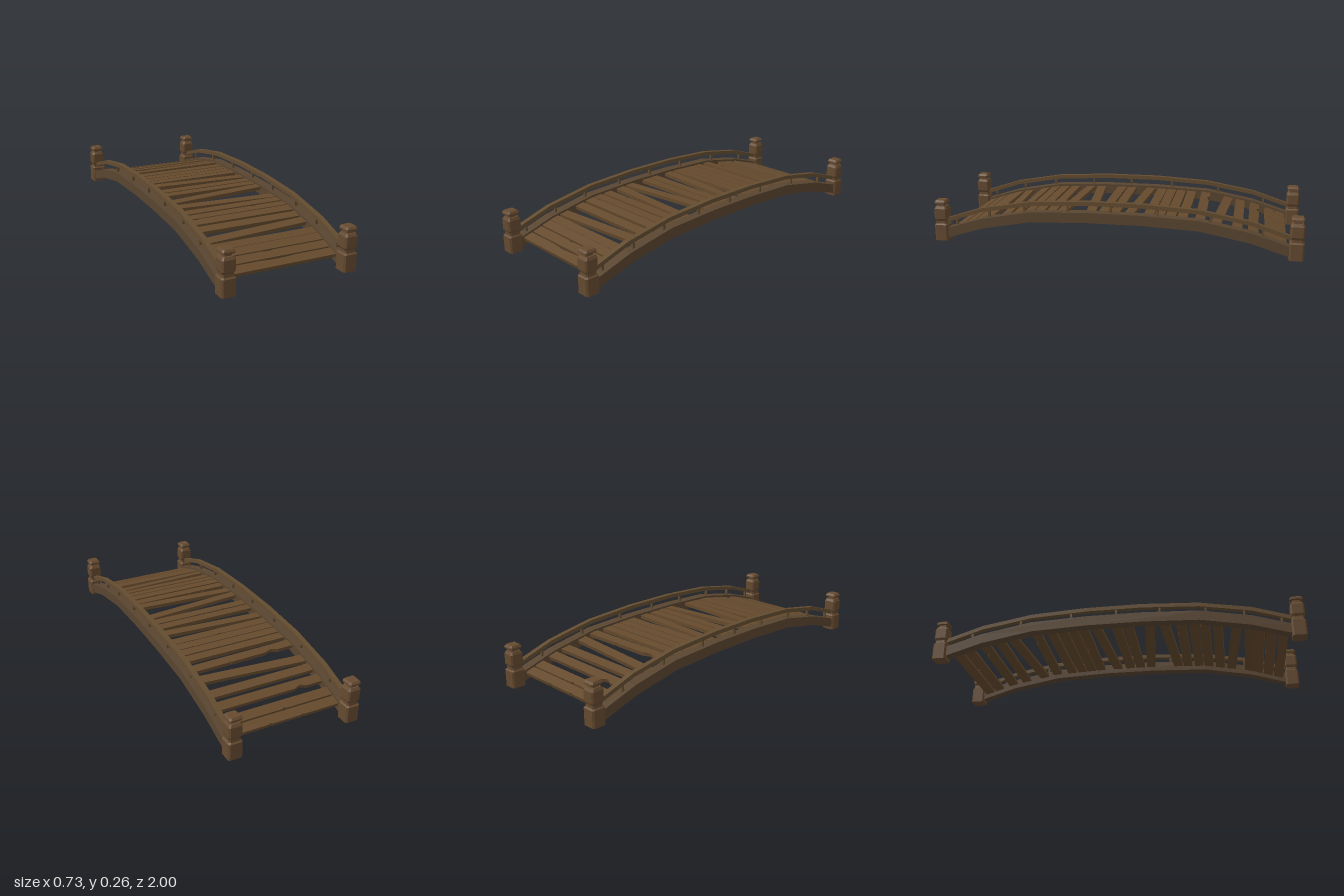
import * as THREE from 'three';

const mat = (name, color) => Object.assign(new THREE.MeshStandardMaterial({ color }), { name });

// Half of each arch as [z, y of top edge]
const BEAM = [[0.15, 0.198], [0.457, 0.185], [0.73, 0.134], [0.96, 0.062]];
const RAIL = [[0.15, 0.256], [0.457, 0.239], [0.73, 0.191], [0.95, 0.119]];

// Height of an arch at z
function heightAt(arch, z) {
  const a = Math.abs(z);
  if (a <= arch[0][0]) return arch[0][1];
  let i = 1;
  while (i < arch.length - 1 && a > arch[i][0]) i++;
  const [z0, y0] = arch[i - 1], [z1, y1] = arch[i];
  return y0 + ((y1 - y0) * (a - z0)) / (z1 - z0);
}

// Arched bar: a faceted band in the z-y plane, extruded across x
function archedBar(arch, thickness, width) {
  const top = [...arch.map(([z, y]) => [-z, y]).reverse(), ...arch];
  const bottom = top.map(([z, y]) => [z, y - thickness]).reverse();
  const shape = new THREE.Shape([...top, ...bottom].map(([z, y]) => new THREE.Vector2(z, y)));
  const geo = new THREE.ExtrudeGeometry(shape, { depth: width, bevelEnabled: false });
  return geo.translate(0, 0, -width / 2).rotateY(-Math.PI / 2);
}

// Turned post: chamfered square rings stacked along y as [y, half width]
const POST = [[0, 0.038], [0.089, 0.038], [0.096, 0.031], [0.111, 0.03], [0.124, 0.036],
  [0.18, 0.036], [0.194, 0.028], [0.195, 0.021], [0.208, 0.021], [0.209, 0.034],
  [0.218, 0.034], [0.228, 0.026]];
function postGeometry() {
  const pos = [], index = [], n = 8;
  for (const [y, h] of POST) {
    const c = h * 0.78;
    for (const [x, z] of [[h, -c], [h, c], [c, h], [-c, h], [-h, c], [-h, -c], [-c, -h], [c, -h]]) pos.push(x, y, z);
  }
  for (let r = 0; r < POST.length - 1; r++) {
    for (let i = 0; i < n; i++) {
      const a = r * n + i, b = r * n + ((i + 1) % n);
      index.push(a, a + n, b, b, a + n, b + n);
    }
  }
  const last = (POST.length - 1) * n;
  for (let i = 1; i < n - 1; i++) {
    index.push(0, i, i + 1, last, last + i + 1, last + i);
  }
  const geo = new THREE.BufferGeometry();
  geo.setAttribute('position', new THREE.Float32BufferAttribute(pos, 3));
  geo.setIndex(index);
  const flat = geo.toNonIndexed();
  flat.computeVertexNormals();
  return flat;
}

// Plank: slanted board with nicks [x, width, depth] cut into its back edge
function plankGeometry(skew, nicks) {
  const L = 0.302, W = 0.0265;
  const mid = (x) => (skew * x) / (2 * L);
  const pts = [[-L, mid(-L) - W]];
  for (const [x, w, d] of nicks) {
    pts.push([x - w / 2, mid(x) - W], [x - w * 0.1, mid(x) - W + d], [x + w * 0.15, mid(x) - W + d * 0.8], [x + w / 2, mid(x) - W]);
  }
  pts.push([L, mid(L) - W], [L, mid(L) + W], [-L, mid(-L) + W]);
  const shape = new THREE.Shape(pts.map((p) => new THREE.Vector2(...p)));
  return new THREE.ExtrudeGeometry(shape, { depth: 0.02, bevelEnabled: false }).rotateX(Math.PI / 2);
}

// Planks as [z at -x end, z at +x end, nicks]
const PLANKS = [
  [-0.889, -0.889, [[-0.09, 0.02, 0.004], [0.09, 0.02, 0.005]]],
  [-0.83, -0.83, [[-0.02, 0.03, 0.006]]],
  [-0.741, -0.741, [[-0.17, 0.07, 0.014]]],
  [-0.656, -0.656, []],
  [-0.585, -0.542, []],
  [-0.45, -0.46, [[-0.17, 0.08, 0.014], [0.08, 0.02, 0.004]]],
  [-0.365, -0.365, []],
  [-0.302, -0.302, []],
  [-0.243, -0.243, [[-0.08, 0.02, 0.004], [0.19, 0.02, 0.005]]],
  [-0.185, -0.185, [[0, 0.03, 0.006]]],
  [-0.116, -0.077, []],
  [0, 0, []],
  [0.063, 0.063, [[-0.15, 0.03, 0.006], [0, 0.02, 0.004]]],
  [0.19, 0.127, []],
  [0.259, 0.296, []],
  [0.354, 0.354, [[-0.15, 0.03, 0.006], [-0.06, 0.02, 0.005]]],
  [0.421, 0.421, [[0.12, 0.05, 0.005]]],
  [0.481, 0.481, [[-0.24, 0.04, 0.006]]],
  [0.55, 0.55, []],
  [0.656, 0.614, []],
  [0.72, 0.72, []],
  [0.772, 0.772, []],
  [0.83, 0.83, [[-0.02, 0.06, 0.006]]],
  [0.889, 0.889, [[0, 0.2, 0.006]]],
];

export function createModel() {
  const postWood = mat('post wood', 0x654a30);
  const beamWood = mat('beam wood', 0x594530);
  const railWood = mat('rail wood', 0x634c30);
  const plankWood = mat('plank wood', 0x654a2d);

  const model = new THREE.Group();
  model.name = 'archedFootbridge';
  const add = (name, geo, material, x = 0, y = 0, z = 0) => {
    const mesh = new THREE.Mesh(geo, material);
    mesh.name = name;
    mesh.position.set(x, y, z);
    model.add(mesh);
    return mesh;
  };

  const post = postGeometry();
  const beam = archedBar(BEAM, 0.056, 0.055);
  const rail = archedBar(RAIL, 0.022, 0.028);
  const balusterZ = [0.88, 0.69, 0.49, 0.245, 0.01, -0.24, -0.52, -0.79];

  for (const [side, s] of [['left', 1], ['right', -1]]) {
    const x = s * 0.327;
    // Corner posts
    add(side + 'FrontPost', post, postWood, x, 0, 0.962);
    add(side + 'BackPost', post, postWood, x, 0, -0.962);
    // Side beam and handrail
    add(side + 'Beam', beam, beamWood, x);
    add(side + 'Handrail', rail, railWood, x);
    // Short balusters between beam and handrail
    for (const z of balusterZ) {
      const y0 = heightAt(BEAM, z) - 0.01, y1 = heightAt(RAIL, z) - 0.012;
      add(side + 'Baluster', new THREE.BoxGeometry(0.014, y1 - y0, 0.011), railWood, x, (y0 + y1) / 2, z);
    }
  }

  // Deck planks, tilted to follow the arch
  for (const [zl, zr, nicks] of PLANKS) {
    const z = (zl + zr) / 2;
    const slope = (heightAt(BEAM, z + 0.03) - heightAt(BEAM, z - 0.03)) / 0.06;
    const plank = add('plank', plankGeometry(zr - zl, nicks), plankWood, 0, heightAt(BEAM, z) - 0.011, z);
    plank.rotation.x = -Math.atan(slope);
  }
  return model;
}
